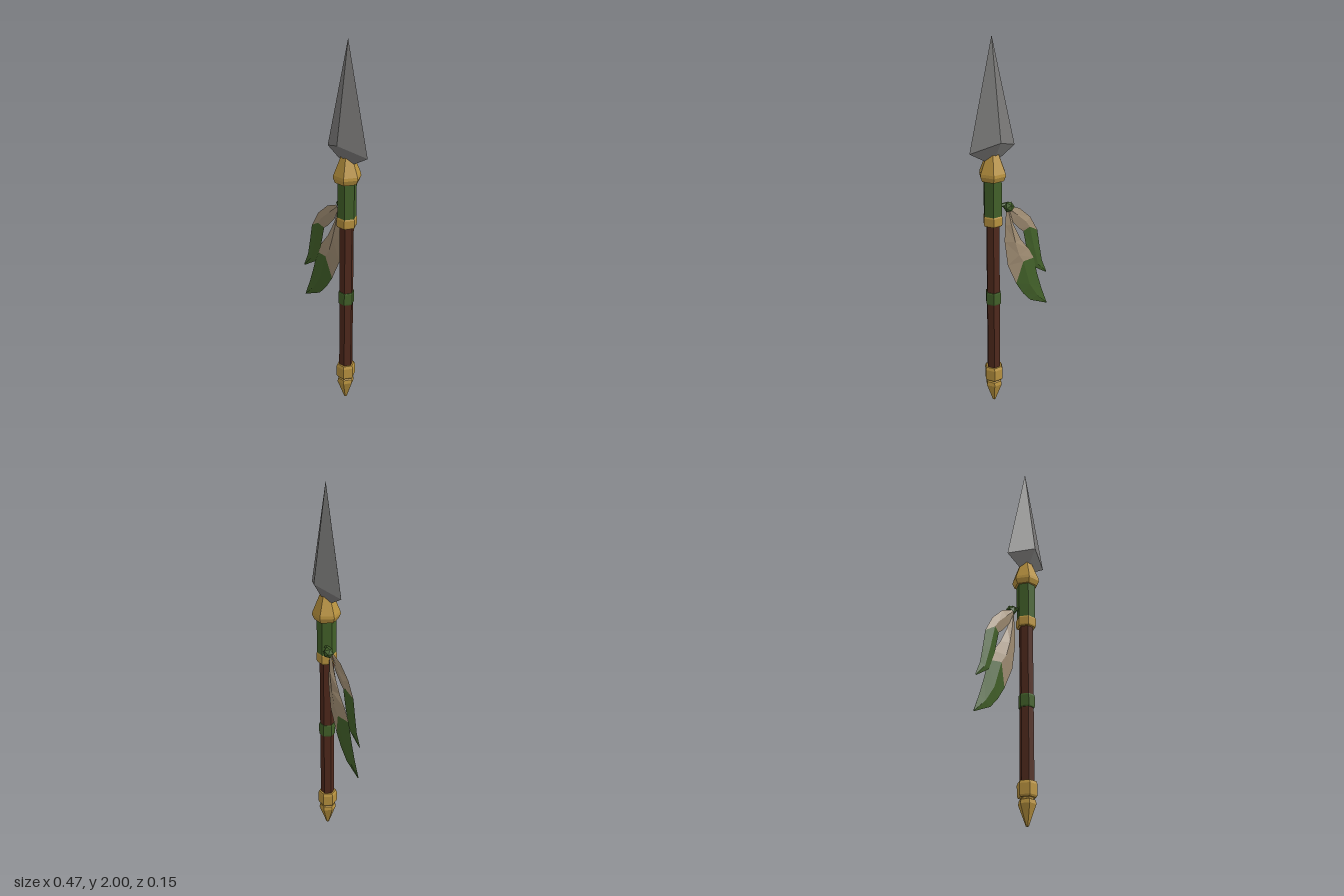
import * as THREE from 'three';
import { ConvexGeometry } from 'three/addons/geometries/ConvexGeometry.js';

const makeMaterial = (name, color) => {
  const m = new THREE.MeshStandardMaterial({ color, flatShading: true });
  m.name = name;
  return m;
};

export function createModel() {
  const steel = makeMaterial('steel', 0x7b7a79);
  const gold = makeMaterial('gold', 0xb8923f);
  const green = makeMaterial('green', 0x426029);
  const wood = makeMaterial('darkWood', 0x4f291c);
  const tan = makeMaterial('tanFeather', 0xa08d73);

  const group = new THREE.Group();
  group.name = 'featheredSpear';
  const spear = new THREE.Group();
  spear.name = 'spear';
  spear.position.x = 0.1;
  group.add(spear);

  const add = (parent, name, geometry, material) => {
    const mesh = new THREE.Mesh(geometry, material);
    mesh.name = name;
    parent.add(mesh);
    return mesh;
  };

  // Six-sided turned part from [radius, y] pairs, bottom to top
  const turned = (name, material, profile) => add(spear, name,
    new THREE.LatheGeometry(profile.map(([r, y]) => new THREE.Vector2(r, y)), 6, Math.PI / 2), material);

  turned('shaft', wood, [[0.037, 0.18], [0.037, 1.06]]);
  turned('buttSpike', gold, [[0, 0], [0.008, 0.004], [0.046, 0.108], [0.042, 0.128], [0.033, 0.132], [0.033, 0.15]]);
  turned('buttCollar', gold, [[0, 0.14], [0.046, 0.14], [0.052, 0.15], [0.052, 0.205], [0.046, 0.22], [0, 0.22]]);
  turned('gripBand', green, [[0, 0.598], [0.041, 0.598], [0.043, 0.605], [0.043, 0.66], [0.041, 0.667], [0, 0.667]]);
  turned('lowerRing', gold, [[0, 1.042], [0.05, 1.042], [0.053, 1.05], [0.053, 1.088], [0.05, 1.095], [0, 1.095]]);
  turned('neckWrap', green, [[0.05, 1.09], [0.05, 1.29]]);
  turned('bladeSocket', gold, [[0, 1.284], [0.062, 1.284], [0.073, 1.31], [0.071, 1.325], [0.034, 1.418], [0, 1.418]]);

  // Four-ridged blade
  add(spear, 'blade', new ConvexGeometry([
    [0, 2, 0], [0, 1.36, 0], [-0.135, 1.44, 0], [0.135, 1.44, 0], [0, 1.49, 0.073], [0, 1.49, -0.073],
  ].map((p) => new THREE.Vector3(...p))), steel);

  // Knot and its tie to the neck wrap
  const knot = add(group, 'featherKnot', new THREE.IcosahedronGeometry(0.029, 0), green);
  knot.position.set(0.027, 1.132, -0.037);
  const tie = add(group, 'knotTie', new THREE.CylinderGeometry(0.01, 0.01, 0.06, 6), green);
  tie.position.set(0.05, 1.145, -0.025);
  tie.rotation.z = Math.PI / 2;

  // Feather section: rings of [leftX, leftY, midX, midY, rightX, rightY, halfThickness]
  const vane = (rings, z) => {
    const positions = [];
    const index = [];
    rings.forEach(([lx, ly, mx, my, rx, ry, t]) =>
      positions.push(lx, ly, z, mx, my, z + t, rx, ry, z, mx, my, z - t));
    for (let i = 0; i < rings.length - 1; i++) {
      for (let j = 0; j < 4; j++) {
        const a = i * 4 + j;
        const b = i * 4 + (j + 1) % 4;
        index.push(a, a + 4, b + 4, a, b + 4, b);
      }
    }
    const g = new THREE.BufferGeometry();
    g.setAttribute('position', new THREE.Float32BufferAttribute(positions, 3));
    g.setIndex(index);
    g.computeVertexNormals();
    return g;
  };

  // Feather with a tan upper part and green tip, split at one ring
  const feather = (name, rings, split, z) => {
    const part = new THREE.Group();
    part.name = name;
    add(part, name + 'Vane', vane(rings.slice(0, split + 1), z), tan);
    add(part, name + 'Tip', vane(rings.slice(split), z), green);
    group.add(part);
  };

  feather('largeFeather', [
    [0.018, 1.12, 0.026, 1.12, 0.034, 1.12, 0.006],
    [-0.012, 1.02, 0.012, 1.03, 0.042, 1.03, 0.014],
    [-0.06, 0.925, -0.01, 0.93, 0.045, 0.94, 0.018],
    [-0.11, 0.86, -0.035, 0.85, 0.025, 0.8, 0.018],
    [-0.143, 0.8, -0.065, 0.805, -0.03, 0.68, 0.015],
    [-0.168, 0.7, -0.11, 0.66, -0.075, 0.61, 0.012],
    [-0.2, 0.6, -0.165, 0.575, -0.125, 0.555, 0.008],
    [-0.235, 0.51, -0.235, 0.507, -0.233, 0.505, 0.002],
  ], 4, -0.025);

  feather('smallFeather', [
    [0.01, 1.125, 0.018, 1.118, 0.026, 1.11, 0.005],
    [-0.055, 1.1, -0.035, 1.07, -0.005, 1.04, 0.01],
    [-0.125, 1.035, -0.09, 1.02, -0.055, 0.985, 0.012],
    [-0.172, 0.95, -0.115, 0.985, -0.08, 0.965, 0.011],
    [-0.187, 0.86, -0.145, 0.86, -0.105, 0.85, 0.009],
    [-0.205, 0.765, -0.175, 0.755, -0.145, 0.745, 0.006],
    [-0.235, 0.695, -0.233, 0.692, -0.23, 0.69, 0.002],
  ], 3, -0.017);

  return group;
}
